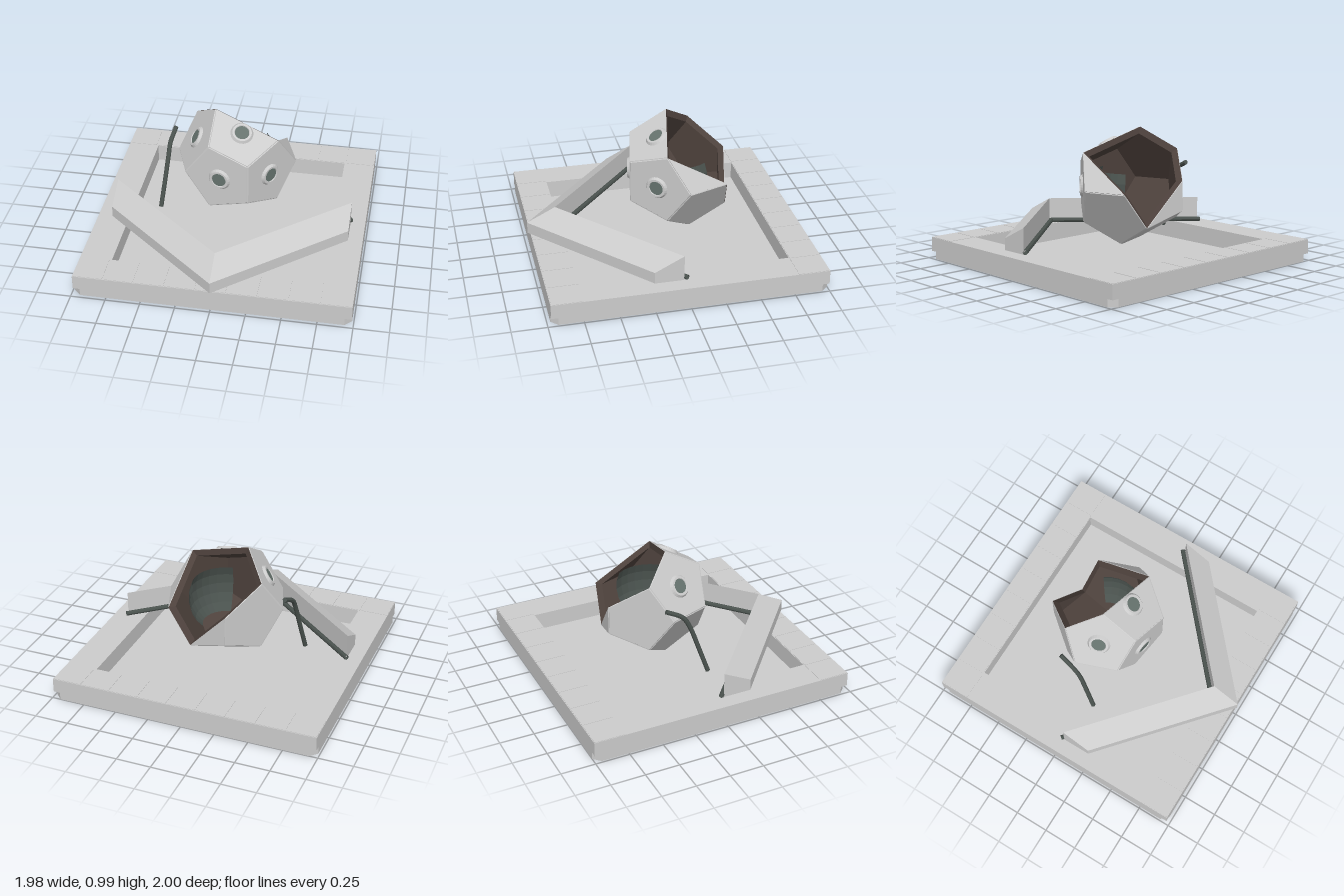
import * as THREE from 'three';

const V = (x, y, z) => new THREE.Vector3(x, y, z);
const mat = (color, side = THREE.FrontSide) =>
  new THREE.MeshStandardMaterial({ color, side, flatShading: true });
const grey = mat(0xcccccc);
const brown = mat(0x4d413c, THREE.DoubleSide);
const dark = mat(0x4a524e, THREE.DoubleSide);
const glass = mat(0x66736e);

function add(parent, name, geometry, material = grey) {
  const mesh = new THREE.Mesh(geometry, material);
  mesh.name = name;
  parent.add(mesh);
  return mesh;
}

// Flat geometry from a list of convex polygons
function polygons(list) {
  const pts = [];
  for (const p of list)
    for (let i = 1; i < p.length - 1; i++) pts.push(p[0], p[i], p[i + 1]);
  const g = new THREE.BufferGeometry().setFromPoints(pts);
  g.computeVertexNormals();
  return g;
}

// Square outline with chamfered corners
function square(Type, h, c) {
  return new Type([[h, c - h], [h, h - c], [h - c, h], [c - h, h],
    [-h, h - c], [-h, c - h], [c - h, -h], [h - c, -h]].map(([x, y]) => new THREE.Vector2(x, y)));
}

// Horizontal slab between two heights
function slab(shape, y0, y1) {
  const g = new THREE.ExtrudeGeometry(shape, { depth: y1 - y0, bevelEnabled: false });
  return g.rotateX(-Math.PI / 2).translate(0, y0, 0);
}

function buildBase() {
  const base = new THREE.Group();
  base.name = 'base';
  const H = 0.9875, R = 0.755;
  const ring = (chamfer) => {
    const s = square(THREE.Shape, H, chamfer);
    s.holes.push(square(THREE.Path, R, 0.0005));
    return s;
  };
  add(base, 'upperFrame', slab(ring(0.0005), 0.055, 0.16));
  add(base, 'lowerFrame', slab(ring(0.05), 0, 0.055));
  add(base, 'recessFloor', slab(square(THREE.Shape, R, 0.0005), 0, 0.027));
  // thin slats on the front and back borders
  const n = 9, step = 2 * H / n;
  for (const s of [-1, 1])
    for (let i = 0; i < n; i++)
      add(base, 'slat', new THREE.BoxGeometry(step - 0.008, 0.004, H - R - 0.01)
        .translate(-H + (i + 0.5) * step, 0.161, s * (H + R) / 2));
  base.position.z = -0.0125;
  return base;
}

function buildBarrier() {
  const barrier = new THREE.Group();
  barrier.name = 'barrier';
  const L = 0.88, slope = 0.864;
  const profile = new THREE.Shape([[0.785, 0.165], [0.995, 0.165], [0.995, 0.25], [0.785, 0.355]]
    .map(([z, y]) => new THREE.Vector2(z, y)));
  for (const s of [-1, 1]) {
    // sloped wall, sheared back towards its outer end
    const g = new THREE.ExtrudeGeometry(profile, { depth: L, bevelEnabled: false })
      .rotateY(-Math.PI / 2).translate(s > 0 ? L : 0, 0, 0);
    const p = g.attributes.position;
    for (let i = 0; i < p.count; i++) p.setZ(i, p.getZ(i) - Math.abs(p.getX(i)) * slope);
    g.computeVertexNormals();
    add(barrier, 'barrierWall', g);
    // rod along the inner foot
    const rod = new THREE.LineCurve3(V(0, 0.185, 0.765), V(s * 0.885, 0.185, 0.002));
    add(barrier, 'barrierRod', new THREE.TubeGeometry(rod, 1, 0.018, 8), dark);
  }
  return barrier;
}

function buildPod() {
  const pod = new THREE.Group();
  pod.name = 'brokenPod';
  const f = (1 + Math.sqrt(5)) / 2, S = 0.256;
  const verts = [], normals = [];
  for (const a of [-1, 1]) for (const b of [-1, 1]) {
    verts.push(V(a, b, 1), V(a, b, -1), V(0, a / f, b * f), V(a / f, b * f, 0), V(a * f, 0, b / f));
    normals.push(V(a, 0, b * f), V(0, a * f, b), V(a * f, b, 0));
  }
  const is = (v, x, y, z) => v.distanceTo(V(x, y, z)) < 0.01;
  const broken = V(0, 0.24, -f); // chipped corner at the back

  // Faces with the broken corners taken away
  const faces = [];
  for (const n of normals) {
    if (is(n, 0, f, -1)) continue;
    const u = V(n.y, n.z, n.x).cross(n).normalize();
    const w = n.clone().cross(u).normalize();
    const ang = (v) => Math.atan2(v.dot(w), v.dot(u));
    const pts = verts.filter((v) => v.dot(n) > f * f - 0.01)
      .sort((a, b) => ang(a) - ang(b))
      .filter((v) => !is(v, 1 / f, f, 0) && !is(v, 1, 1, -1)
        && !(is(n, 1, 0, -f) && is(v, f, 0, -1 / f)))
      .map((v) => (is(v, 0, 1 / f, -f) ? broken : v));
    faces.push(pts);
  }
  const scaled = (pts, k) => pts.map((v) => v.clone().multiplyScalar(k * S));

  // Outer panels with beveled borders
  const inner = 0.87, edge = 0.985;
  for (const pts of faces) {
    const mid = pts.reduce((m, v) => m.add(v), V(0, 0, 0)).divideScalar(pts.length);
    const top = scaled(pts.map((v) => v.clone().lerp(mid, 0.035)), 1);
    const low = scaled(pts, edge);
    const bevel = pts.map((_, i) => {
      const j = (i + 1) % pts.length;
      return [low[i], low[j], top[j], top[i]];
    });
    add(pod, 'panel', polygons([top, ...bevel]));
  }
  // Inner lining and the broken rim
  add(pod, 'lining', polygons(faces.map((p) => scaled(p, inner).reverse())), brown);
  const rim = [V(-1 / f, f, 0), V(1, 1, 1), V(f, 0, -1 / f), V(1, -1, -1), broken, V(-1, 1, -1)];
  const out = scaled(rim, 0.99), inn = scaled(rim, inner);
  add(pod, 'brokenRim', polygons(rim.map((_, i) => {
    const j = (i + 1) % rim.length;
    return [out[i], out[j], inn[j], inn[i]];
  })), brown);
  // Shard of a round inner shell
  add(pod, 'innerShard', new THREE.SphereGeometry(0.275, 9, 5,
    Math.PI * 1.55 + Math.PI / 2 - Math.PI * 0.2 - Math.PI * 1.75 + Math.PI * 1.9, Math.PI * 0.65,
    Math.PI * 0.36, Math.PI * 0.42).rotateY(Math.PI * 0.45), dark);

  // Round ports on four panels
  for (const n of [V(1, 0, f), V(-1, 0, f), V(0, f, 1), V(-f, 1, 0)]) {
    const port = new THREE.Group();
    port.name = 'port';
    const profile = [[0.05, 0.008], [0.055, 0.018], [0.07, 0.018], [0.083, 0]]
      .map(([r, y]) => new THREE.Vector2(r, y)).reverse();
    add(port, 'portRing', new THREE.LatheGeometry(profile, 24), mat(0xcccccc, THREE.DoubleSide));
    add(port, 'portGlass', new THREE.CylinderGeometry(0.052, 0.052, 0.012, 24).translate(0, 0.006, 0), glass);
    n.normalize();
    port.quaternion.setFromUnitVectors(V(0, 1, 0), n);
    port.position.copy(n).multiplyScalar(S * f * f / Math.hypot(1, f));
    pod.add(port);
  }
  pod.rotation.y = THREE.MathUtils.degToRad(20);
  pod.position.set(0, 0.577, -0.135);
  return pod;
}

export function createModel() {
  const model = new THREE.Group();
  model.name = 'brokenPodDisplay';
  model.add(buildBase(), buildBarrier(), buildPod());
  // Bent rod beside the pod
  const path = new THREE.CatmullRomCurve3([V(-0.545, 0.18, 0.07), V(-0.525, 0.36, 0.01),
    V(-0.505, 0.56, -0.06), V(-0.5, 0.64, -0.11), V(-0.48, 0.705, -0.23)]);
  add(model, 'bentRod', new THREE.TubeGeometry(path, 20, 0.017, 8), dark);
  for (const t of [0, 1]) {
    const cap = add(model, 'bentRodEnd', new THREE.CircleGeometry(0.017, 8), dark);
    cap.position.copy(path.getPoint(t));
    cap.lookAt(path.getPoint(t).addScaledVector(path.getTangent(t), t ? 1 : -1));
  }
  return model;
}
